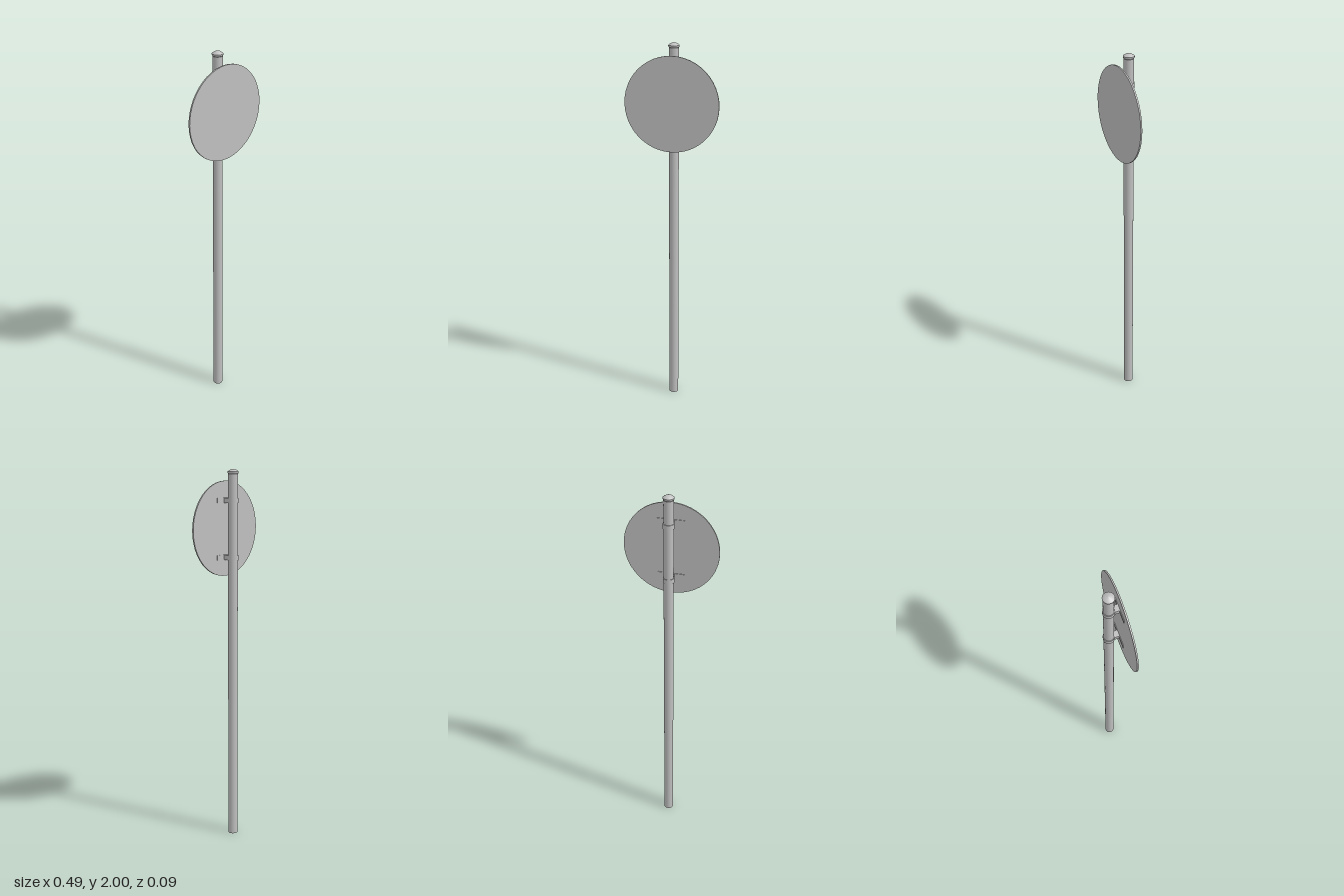
import * as THREE from 'three';

const POLE_Z = -0.0145;

export function createModel() {
  const model = new THREE.Group();
  const metal = new THREE.MeshStandardMaterial({ color: 0xc0c0c0 });
  metal.name = 'galvanised grey';

  const add = (parent, name, geometry, x, y, z) => {
    const mesh = new THREE.Mesh(geometry, metal);
    mesh.name = name;
    mesh.position.set(x, y, z);
    parent.add(mesh);
    return mesh;
  };
  const lathe = (pairs, segments) =>
    new THREE.LatheGeometry(pairs.map(([r, y]) => new THREE.Vector2(r, y)), segments);

  // Post
  add(model, 'post', new THREE.CylinderGeometry(0.0255, 0.0255, 1.98, 32), 0, 0.99, POLE_Z);

  // Shallow domed cap with a slight overhang
  add(model, 'postCap', lathe([[0, 1.974], [0.0255, 1.974], [0.029, 1.981], [0.029, 1.986]], 32), 0, 0, POLE_Z);
  add(model, 'capDome', lathe([[0.029, 1.986], [0.023, 1.991], [0.013, 1.997], [0, 2]], 32), 0, 0, POLE_Z);

  // Round sign plate
  const plate = add(model, 'signPlate', new THREE.CylinderGeometry(0.247, 0.247, 0.008, 48), 0, 1.693, 0.0393);
  plate.rotation.x = Math.PI / 2;

  // Two clamps: collar round the post, spacer block and mounting strip
  for (const [name, y] of [['upperClamp', 1.84], ['lowerClamp', 1.545]]) {
    const clamp = new THREE.Group();
    clamp.name = name;
    clamp.position.y = y;
    add(clamp, 'collar', new THREE.CylinderGeometry(0.029, 0.029, 0.026, 32), 0, 0, POLE_Z);
    add(clamp, 'spacer', new THREE.BoxGeometry(0.034, 0.026, 0.03), 0, 0, 0.018);
    add(clamp, 'mountingStrip', new THREE.BoxGeometry(0.14, 0.026, 0.004), 0, 0, 0.034);
    model.add(clamp);
  }
  return model;
}
